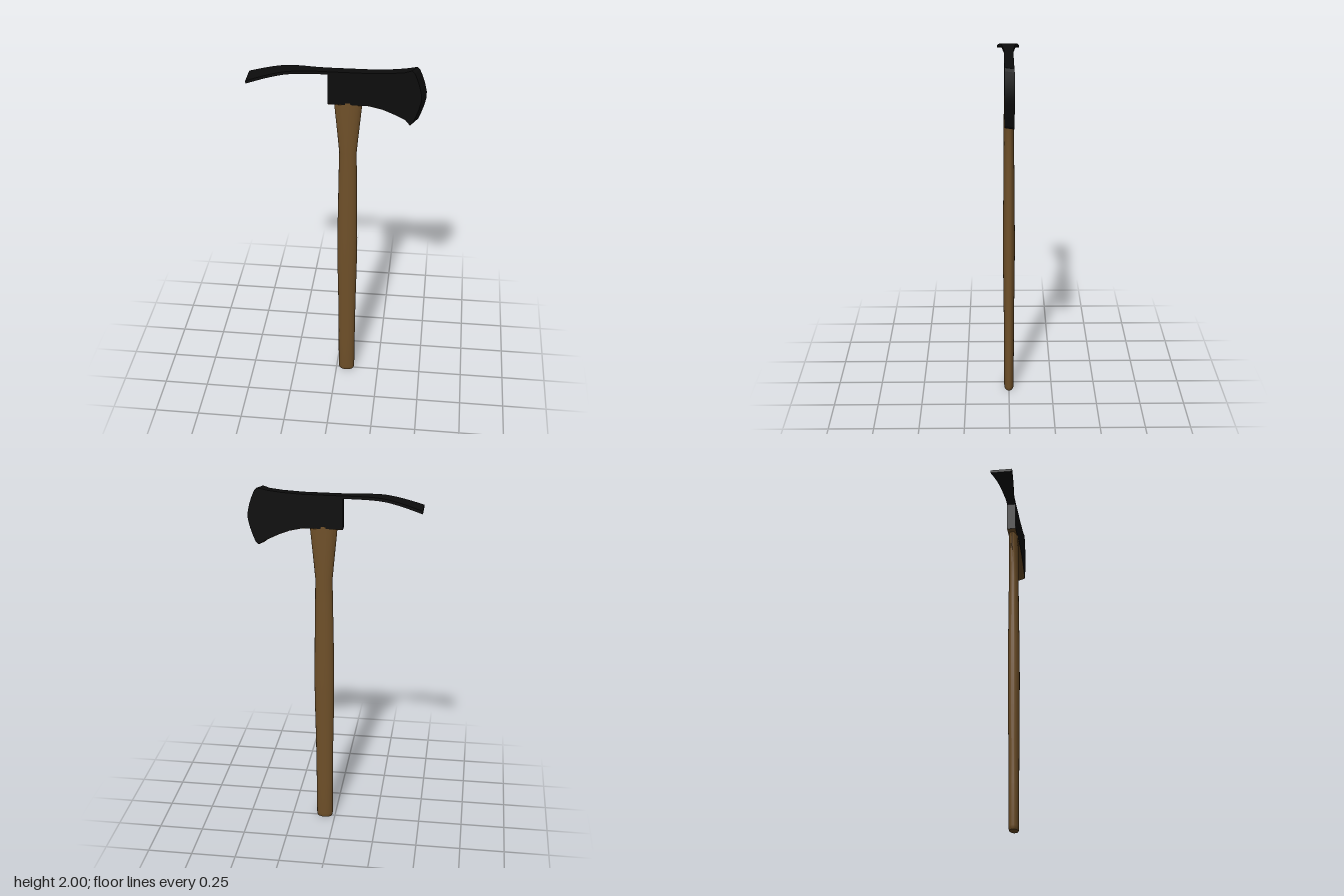
import * as THREE from 'three';
import { toCreasedNormals, mergeVertices } from 'three/addons/utils/BufferGeometryUtils.js';

const HALF = 0.025; // half thickness of the head
const iron = new THREE.MeshStandardMaterial({ color: 0x0c0c0c });
const wood = new THREE.MeshStandardMaterial({ color: 0x6f5029 });
const woodStrip = new THREE.MeshStandardMaterial({ color: 0x6f5029, side: THREE.DoubleSide });

// Move every vertex by a rule, then rebuild normals with sharp edges kept
function reshape(geo, rule, crease) {
  const p = geo.attributes.position, v = new THREE.Vector3();
  for (let i = 0; i < p.count; i++) {
    rule(v.fromBufferAttribute(p, i));
    p.setXYZ(i, v.x, v.y, v.z);
  }
  geo.deleteAttribute('uv');
  geo.deleteAttribute('normal');
  return toCreasedNormals(mergeVertices(geo, 1e-5), crease);
}

function part(name, geo, material) {
  const mesh = new THREE.Mesh(geo, material);
  mesh.name = name;
  return mesh;
}

const vectors = (list) => list.map(([x, y]) => new THREE.Vector2(x, y));

export function createModel() {
  const group = new THREE.Group();
  group.name = 'axe';

  // Handle: oval section, swelling at the grip and flaring wide under the head
  const profile = vectors([
    [0, 0], [0.041, 0], [0.045, 0.008], [0.047, 0.022], [0.048, 0.25], [0.05, 0.5], [0.054, 0.7],
    [0.056, 0.85], [0.056, 0.95], [0.053, 1.15], [0.05, 1.32], [0.047, 1.5],
    [0.056, 1.6], [0.075, 1.8], [0, 1.8],
  ]);
  const handle = reshape(new THREE.LatheGeometry(profile, 24), (v) => {
    const flare = THREE.MathUtils.clamp((v.y - 1.5) / 0.3, 0, 1);
    v.z *= THREE.MathUtils.lerp(0.59, 0.34, flare);
    v.x += 0.06;
  }, 0.6);
  group.add(part('handle', handle, wood));

  // Axe head: side outline with a curved cutting edge
  const underside = vectors([
    [0.41, 1.69], [0.36, 1.72], [0.3, 1.75], [0.24, 1.774], [0.17, 1.79], [-0.045, 1.79],
  ]);
  const edge = vectors([
    [0.41, 2], [0.425, 1.985], [0.44, 1.95], [0.453, 1.91], [0.463, 1.865],
    [0.463, 1.83], [0.453, 1.785], [0.44, 1.745], [0.425, 1.706],
  ]);
  const top = vectors([[-0.045, 1.973], [0.17, 1.974], [0.28, 1.98], [0.35, 1.988]]);
  const outline = new THREE.Shape([...top, ...edge, ...underside]);
  const block = new THREE.ExtrudeGeometry(outline, { depth: 2 * HALF, bevelEnabled: false });
  block.translate(0, 0, -HALF);
  // The cutting edge is ground from the front only
  const bevel = (v) => { if (v.x > 0.4 && v.z > 0) v.x -= 0.025; };
  group.add(part('axeHead', reshape(block, bevel, 0.35), iron));

  // Wooden-coloured strip along the underside of the head
  const corners = [], index = [];
  underside.forEach((p, i) => {
    for (const z of [-HALF, HALF]) {
      const v = new THREE.Vector3(p.x, p.y - 0.001, z);
      bevel(v);
      corners.push(v);
    }
    if (i) index.push(2 * i - 2, 2 * i - 1, 2 * i, 2 * i - 1, 2 * i + 1, 2 * i);
  });
  const strip = new THREE.BufferGeometry().setFromPoints(corners);
  strip.setIndex(index);
  strip.computeVertexNormals();
  group.add(part('headUnderside', strip, woodStrip));

  // Adze arm: thin bar that curves down and fans out towards its tip
  const path = new THREE.CatmullRomCurve3([
    [-0.04, 1.973], [-0.12, 1.974], [-0.2, 1.974], [-0.27, 1.969], [-0.35, 1.952], [-0.41, 1.935], [-0.465, 1.918],
  ].map(([x, y]) => new THREE.Vector3(x, y, 0)));
  const arm = reshape(new THREE.BoxGeometry(1, 1, 1, 14, 1, 1), (v) => {
    const c = path.getPoint(0.5 - v.x);
    const width = HALF + 0.036 * Math.max(0, (-0.1 - c.x) / 0.365);
    v.set(c.x, c.y + (v.y - 0.5) * 0.016, v.z * 2 * width);
  }, 0.5);
  group.add(part('adzeArm', arm, iron));

  return group;
}
